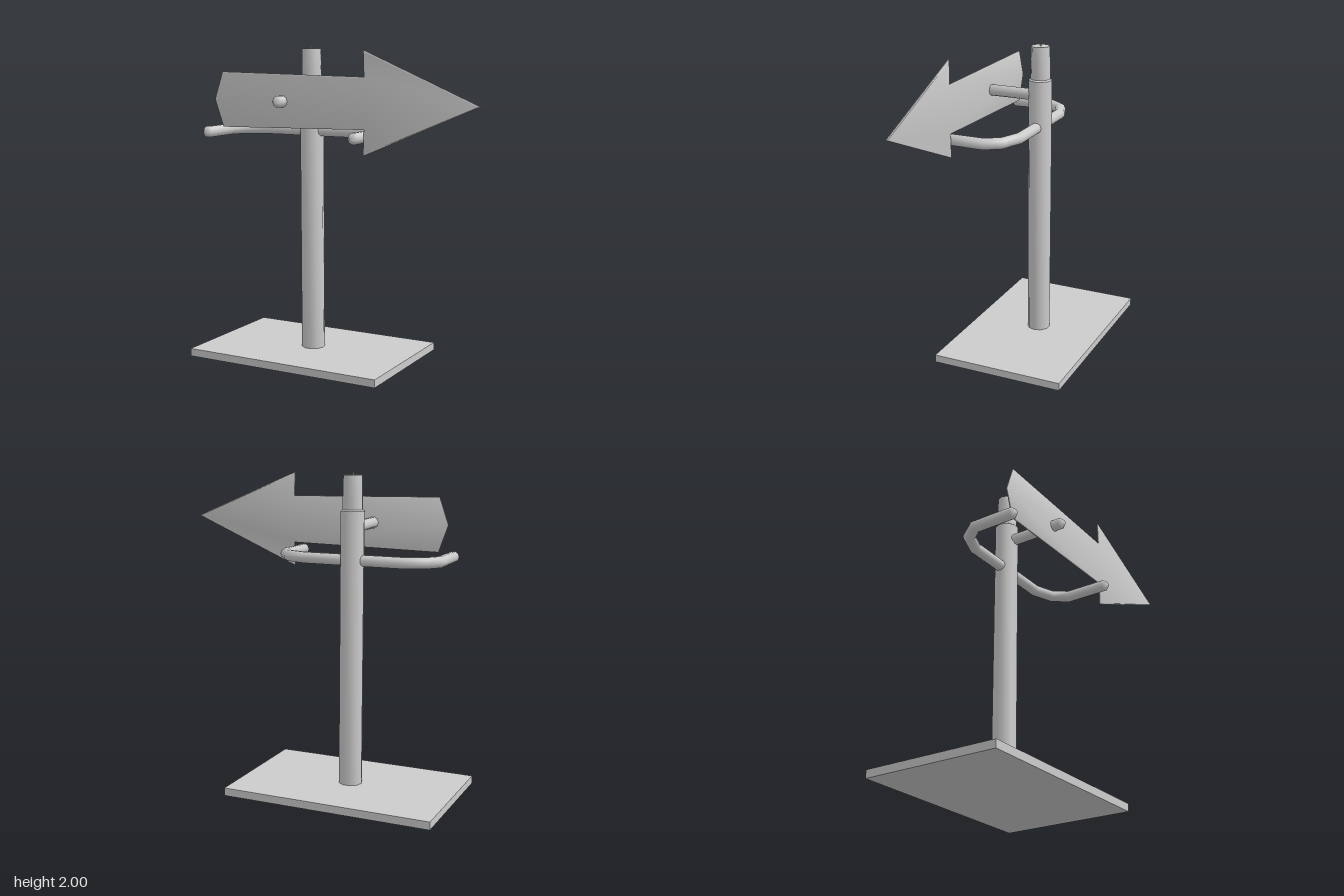
import * as THREE from 'three';
import { toCreasedNormals } from 'three/addons/utils/BufferGeometryUtils.js';

const POLE_X = -0.305;
const material = new THREE.MeshStandardMaterial({ color: 0xcccccc });

function add(group, name, geometry, x = 0, y = 0, z = 0) {
  const mesh = new THREE.Mesh(geometry, material);
  mesh.name = name;
  mesh.position.set(x, y, z);
  group.add(mesh);
}

// Round bar along a level path of [x, z, radius], mitred at every bend and closed at both ends
function bar(path, sides = 10) {
  const direction = (a, b) => new THREE.Vector2(b[0] - a[0], b[1] - a[1]).normalize();
  const end = path.length - 1;
  const points = [], index = [];
  path.forEach(([x, z, radius], i) => {
    const before = direction(path[Math.max(i - 1, 0)], path[Math.max(i, 1)]);
    const after = direction(path[Math.min(i, end - 1)], path[Math.min(i + 1, end)]);
    const t = before.clone().add(after).normalize();
    const stretch = 1 / t.dot(before);
    for (let j = 0; j < sides; j++) {
      const angle = (-j / sides) * Math.PI * 2;
      const across = Math.cos(angle) * radius * stretch;
      points.push(x - t.y * across, Math.sin(angle) * radius, z + t.x * across);
      const a = i * sides + j, b = i * sides + (j + 1) % sides;
      if (i < end) index.push(a, b, a + sides, b, b + sides, a + sides);
    }
  });
  const last = end * sides;
  for (let j = 1; j < sides - 1; j++) {
    index.push(0, j + 1, j, last, last + j, last + j + 1);
  }
  const geometry = new THREE.BufferGeometry();
  geometry.setAttribute('position', new THREE.Float32BufferAttribute(points, 3));
  geometry.setIndex(index);
  return toCreasedNormals(geometry, 1);
}

export function createModel() {
  const model = new THREE.Group();
  model.name = 'arrowSign';

  add(model, 'base', new THREE.BoxGeometry(1.345, 0.05, 0.87), -0.305, 0.025, 0);

  // Pole with a stepped, narrower neck
  const profile = [[0, 0.05], [0.075, 0.05], [0.075, 1.77], [0.064, 1.778], [0.0615, 1.9], [0.0595, 1.985], [0, 1.985]];
  const pole = new THREE.LatheGeometry(profile.map(([r, y]) => new THREE.Vector2(r, y)), 10);
  pole.rotateY(Math.PI / 2);
  add(model, 'pole', toCreasedNormals(pole, 0.75), POLE_X);
  add(model, 'topPin', new THREE.CylinderGeometry(0.005, 0.005, 0.03, 8), POLE_X, 1.985, 0);

  // Bent arms, mirrored about the pole, ending in blunt tips
  const r = 0.036;
  const half = [[0.32, 0, r], [0.45, 0.05, r], [0.515, 0.14, r], [0.515, 0.41, r], [0.515, 0.435, 0.014]];
  const mirrored = half.map(([x, z, s]) => [-x, z, s]).reverse();
  add(model, 'bentArms', bar([...mirrored, ...half]), POLE_X, 1.47, 0);

  // Peg through the arrow
  add(model, 'arrowPeg', bar([[0, 0, r], [0, 0.41, r], [0, 0.435, 0.014]]), POLE_X, 1.67, 0);

  // Thin arrow board with softly bevelled edges
  const outline = [[-0.8, 0], [-0.74, -0.171], [0.25, -0.153], [0.245, -0.307], [0.97, 0], [0.245, 0.307], [0.25, 0.153], [-0.74, 0.171]];
  const board = new THREE.ExtrudeGeometry(new THREE.Shape(outline.map(([x, y]) => new THREE.Vector2(x, y))), {
    depth: 0.006, bevelThickness: 0.004, bevelSize: 0.008, bevelOffset: -0.008, bevelSegments: 1,
  });
  add(model, 'arrowBoard', toCreasedNormals(board, 0.6), 0, 1.672, 0.347);

  return model;
}
